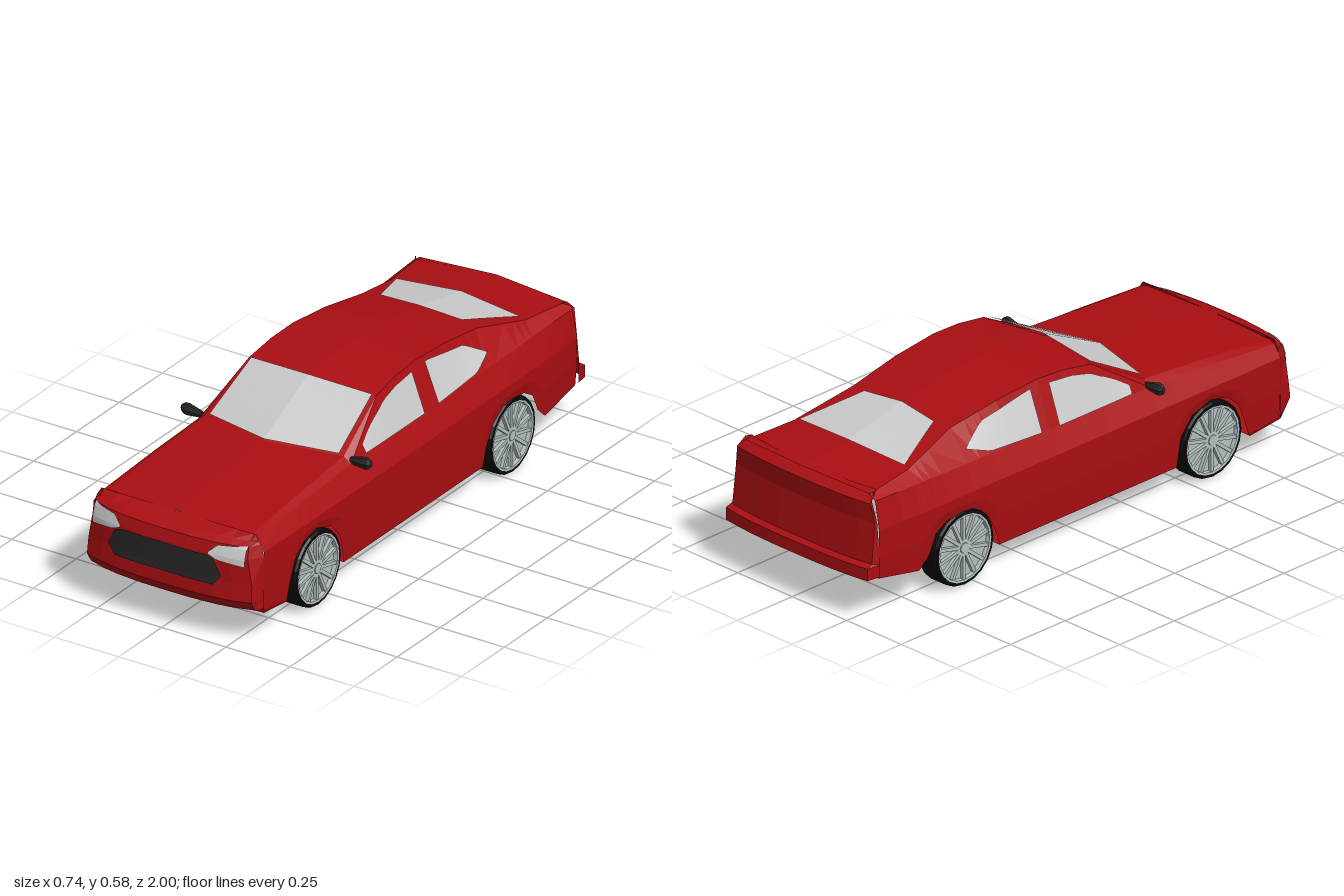
import * as THREE from 'three';

const mat = (color) => new THREE.MeshStandardMaterial({ color, flatShading: true, side: THREE.DoubleSide });
const paint = mat(0xaa0e12), glass = mat(0xcccccc), dark = mat(0x282828), rubber = mat(0x0b0b0b), alloy = mat(0xb4c0c0);

// Piecewise linear function through [t, value] pairs with rising t
const curve = (pts) => (t) => {
  if (t <= pts[0][0]) return pts[0][1];
  for (let i = 1; i < pts.length; i++) {
    const [a, va] = pts[i - 1], [b, vb] = pts[i];
    if (t <= b) return va + ((vb - va) * (t - a)) / (b - a);
  }
  return pts[pts.length - 1][1];
};
const lerp = THREE.MathUtils.lerp;

// Surface through rows of points
function sheet(name, rows, material) {
  const w = rows[0].length, index = [];
  for (let i = 0; i + 1 < rows.length; i++)
    for (let j = 0; j + 1 < w; j++) {
      const a = i * w + j, b = a + w;
      index.push(a, b, a + 1, b, b + 1, a + 1);
    }
  const geo = new THREE.BufferGeometry();
  geo.setAttribute('position', new THREE.Float32BufferAttribute(rows.flat(2), 3));
  geo.setIndex(index);
  geo.computeVertexNormals();
  const mesh = new THREE.Mesh(geo, material);
  mesh.name = name;
  return mesh;
}
const grid = (nu, nv, fn) => Array.from({ length: nu + 1 }, (_, i) =>
  Array.from({ length: nv + 1 }, (_, j) => fn(i / nu, j / nv)));

// Body outline as functions of z: lower edge with wheel arches, belt line, roof rail, centre line
const lowY = curve([[-0.93, 0.15], [-0.745, 0.118], [-0.7, 0.16], [-0.67, 0.225], [-0.62, 0.255], [-0.5, 0.255],
  [-0.44, 0.22], [-0.4, 0.15], [-0.38, 0.088], [0.43, 0.088], [0.45, 0.19], [0.5, 0.25], [0.585, 0.278],
  [0.66, 0.262], [0.71, 0.22], [0.74, 0.15], [0.76, 0.09], [0.9, 0.105]]);
const beltY = curve([[-0.93, 0.425], [-0.5, 0.41], [0.3, 0.398], [0.6, 0.385], [0.9, 0.365]]);
const beltX = curve([[-0.93, 0.31], [-0.5, 0.3], [0.3, 0.295], [0.9, 0.305]]);
const railY = curve([[-0.93, 0.443], [-0.73, 0.455], [-0.5, 0.512], [-0.3, 0.546], [-0.12, 0.563], [0, 0.558],
  [0.12, 0.538], [0.34, 0.418], [0.6, 0.4], [0.9, 0.373]]);
const railX = curve([[-0.93, 0.285], [-0.73, 0.26], [-0.5, 0.222], [-0.3, 0.232], [0, 0.242], [0.12, 0.247],
  [0.34, 0.268], [0.9, 0.28]]);
const topY = curve([[-0.93, 0.452], [-0.73, 0.472], [-0.5, 0.53], [-0.3, 0.562], [-0.12, 0.576], [0, 0.573],
  [0.12, 0.552], [0.34, 0.426], [0.6, 0.408], [0.8, 0.394], [0.9, 0.382]]);
const bow = curve([[-0.73, -0.02], [-0.5, 0.02], [-0.3, 0], [0, 0], [0.12, 0.02], [0.34, 0.065], [0.9, 0]]);
const wideX = curve([[-0.93, 0.328], [-0.7, 0.336], [0.7, 0.336], [0.9, 0.332]]);

// Point on the upper skin at fraction x across the rail width
const upper = (z, x) => {
  const f = 1 - Math.min(1, Math.abs(x) / railX(z));
  return [x, lerp(railY(z), topY(z), f), z + bow(z) * f];
};

// Nose and tail rows: y, z at centre, half width
const nose = [[0.381, 0.9, 0.29], [0.362, 0.955, 0.29], [0.35, 0.978, 0.298], [0.31, 0.99, 0.302], [0.22, 0.99, 0.318],
  [0.16, 0.996, 0.32], [0.125, 0.975, 0.318], [0.105, 0.9, 0.32], [0.09, 0.76, 0.325]];
const tail = [[0.451, -0.92, 0.285], [0.42, -0.968, 0.305], [0.35, -0.96, 0.318], [0.21, -0.975, 0.32],
  [0.203, -1, 0.325], [0.16, -1, 0.325]];
const noseZ = curve(nose.slice(1, 7).reverse().map(([y, z]) => [y, z]));
const noseW = curve(nose.slice(1, 7).reverse().map(([y, , h]) => [y, h]));
const noseBend = (x, h) => 0.04 * Math.abs(x / h) ** 3;

function cap(name, rows, end, bend) {
  const cols = [-1, -0.8, -0.6, -0.3, 0, 0.3, 0.6, 0.8, 1];
  return sheet(name, rows.map(([y, z, h]) => {
    const joinX = y < 0.33 ? 0.332 : lerp(0.332, 0.295, Math.min(1, (y - 0.33) / 0.06));
    const joinZ = Math.abs(z) < Math.abs(end) ? z : end;
    const pts = cols.map((c) => [c * h, y, Math.abs(z) > 0.91 ? z - Math.sign(z) * bend * Math.abs(c) ** 3 : z]);
    return [[-joinX, y, joinZ], ...pts, [joinX, y, joinZ]];
  }), paint);
}

function wheel(side) {
  const g = new THREE.Group();
  g.name = 'wheel';
  const part = (name, geo, material, x = 0) => {
    const m = new THREE.Mesh(geo, material);
    m.name = name;
    m.position.y = x;
    g.add(m);
    return m;
  };
  const V = (x, y) => new THREE.Vector2(x, y);
  part('tyre', new THREE.LatheGeometry([V(0.117, -0.042), V(0.13, -0.042), V(0.134, -0.034), V(0.134, 0.034),
    V(0.13, 0.042), V(0.117, 0.042), V(0.117, -0.042)], 20), rubber);
  part('rimInner', new THREE.CylinderGeometry(0.118, 0.118, 0.006, 20), alloy, -0.034);
  part('rimDish', new THREE.CylinderGeometry(0.117, 0.117, 0.006, 20), alloy, 0.024);
  part('rimLip', new THREE.LatheGeometry([V(0.112, 0.025), V(0.113, 0.042), V(0.12, 0.043)], 20), alloy);
  part('hub', new THREE.CylinderGeometry(0.018, 0.022, 0.016, 10), alloy, 0.034);
  for (let i = 0; i < 14; i++) {
    const a = (i / 14) * Math.PI * 2;
    const s = part('spoke', new THREE.BoxGeometry(0.1, 0.012, 0.012), alloy, 0.033);
    s.position.set(Math.cos(a) * 0.065, 0.033, -Math.sin(a) * 0.065);
    s.rotation.y = a;
  }
  g.rotation.z = -side * Math.PI / 2;
  return g;
}

export function createModel() {
  const car = new THREE.Group();
  car.name = 'car';

  // Body shell, lofted along z from sill to roof centre on each side
  const stations = [-0.93, -0.82, -0.745, -0.73, -0.7, -0.67, -0.62, -0.5, -0.44, -0.4, -0.38, -0.3, -0.12, 0, 0.12,
    0.34, 0.43, 0.45, 0.5, 0.585, 0.66, 0.71, 0.74, 0.76, 0.9];
  for (const s of [1, -1]) {
    car.add(sheet('bodySide', stations.map((z) => {
      const w = wideX(z), lo = lowY(z);
      return [[s * (w - 0.008), lo, z], [s * w, lerp(lo, 0.325, 0.5), z], [s * w, 0.325, z],
        [s * beltX(z), beltY(z), z], upper(z, s * railX(z)), upper(z, s * railX(z) * 0.5), upper(z, 0)];
    }), paint));
  }
  car.add(cap('frontBumper', nose, 0.9, 0.04), cap('rearBumper', tail, -0.93, 0.02));
  car.add(sheet('floor', [-0.38, 0.43].map((z) => [[-0.328, 0.088, z], [0.328, 0.088, z]]), paint));

  // Windscreen and rear window, lying just above the skin
  const screen = (name, z0, z1, x0, x1, lift) => car.add(sheet(name, grid(4, 8, (u, v) => {
    const [x, y, z] = upper(lerp(z0, z1, u), (v * 2 - 1) * lerp(x0, x1, u));
    return [x, y + 0.006, z + lift];
  }), glass));
  screen('windscreen', 0.338, 0.122, 0.252, 0.235, 0.003);
  screen('rearWindow', -0.725, -0.515, 0.242, 0.16, -0.002);

  // Side windows follow the plane between belt and roof rail
  const sideWindow = (s, name, z0, z1, top, bottom) => car.add(sheet(name, grid(16, 2, (u, v) => {
    const z = lerp(z0, z1, u), y = lerp(bottom(z), top(z), v);
    const f = (y - beltY(z)) / (railY(z) - beltY(z));
    return [s * (lerp(beltX(z), railX(z), f) + 0.006), y, z];
  }), glass));
  for (const s of [1, -1]) {
    sideWindow(s, 'frontSideWindow', -0.08, 0.255, curve([[-0.08, 0.543], [0.02, 0.535], [0.1, 0.517], [0.2, 0.465], [0.255, 0.43]]),
      curve([[-0.08, 0.404], [0.255, 0.402]]));
    sideWindow(s, 'rearSideWindow', -0.48, -0.16, curve([[-0.48, 0.452], [-0.385, 0.508], [-0.17, 0.545], [-0.16, 0.545]]),
      curve([[-0.48, 0.448], [-0.39, 0.418], [-0.16, 0.406]]));
  }

  // Grille and headlights projected on the nose
  const onNose = (name, x0, x1, top, bottom, material) => car.add(sheet(name, grid(16, 6, (u, v) => {
    const x = lerp(x0, x1, u), y = lerp(bottom(Math.abs(x)), top(Math.abs(x)), v);
    return [x, y, noseZ(y) - noseBend(x, noseW(y)) + 0.006];
  }), material));
  onNose('grille', -0.218, 0.218, curve([[0, 0.31], [0.175, 0.308], [0.205, 0.29], [0.218, 0.245]]),
    curve([[0, 0.208], [0.2, 0.206], [0.218, 0.24]]), dark);
  for (const s of [1, -1]) {
    onNose('headlight', s * 0.17, s * 0.296, curve([[0.17, 0.318], [0.2, 0.346], [0.296, 0.353]]),
      curve([[0.17, 0.312], [0.2, 0.297], [0.296, 0.284]]), glass);
  }

  // Door mirrors
  const V = (x, y) => new THREE.Vector2(x, y);
  const mirrorGeo = new THREE.LatheGeometry([V(0, 0), V(0.012, 0), V(0.022, 0.055), V(0.02, 0.07), V(0.011, 0.08), V(0, 0.08)], 6);
  for (const s of [1, -1]) {
    const m = new THREE.Mesh(mirrorGeo, dark);
    m.name = 'doorMirror';
    m.scale.z = 0.7;
    m.rotation.z = -s * 1.49;
    m.position.set(s * 0.289, 0.406, 0.33);
    car.add(m);
  }

  // Wheels
  for (const s of [1, -1])
    for (const z of [0.588, -0.545]) {
      const w = wheel(s);
      w.position.set(s * 0.293, 0.138, z);
      car.add(w);
    }
  car.traverse((o) => { if (o.isGroup && o !== car) o.position.y = 0.134; });
  return car;
}
